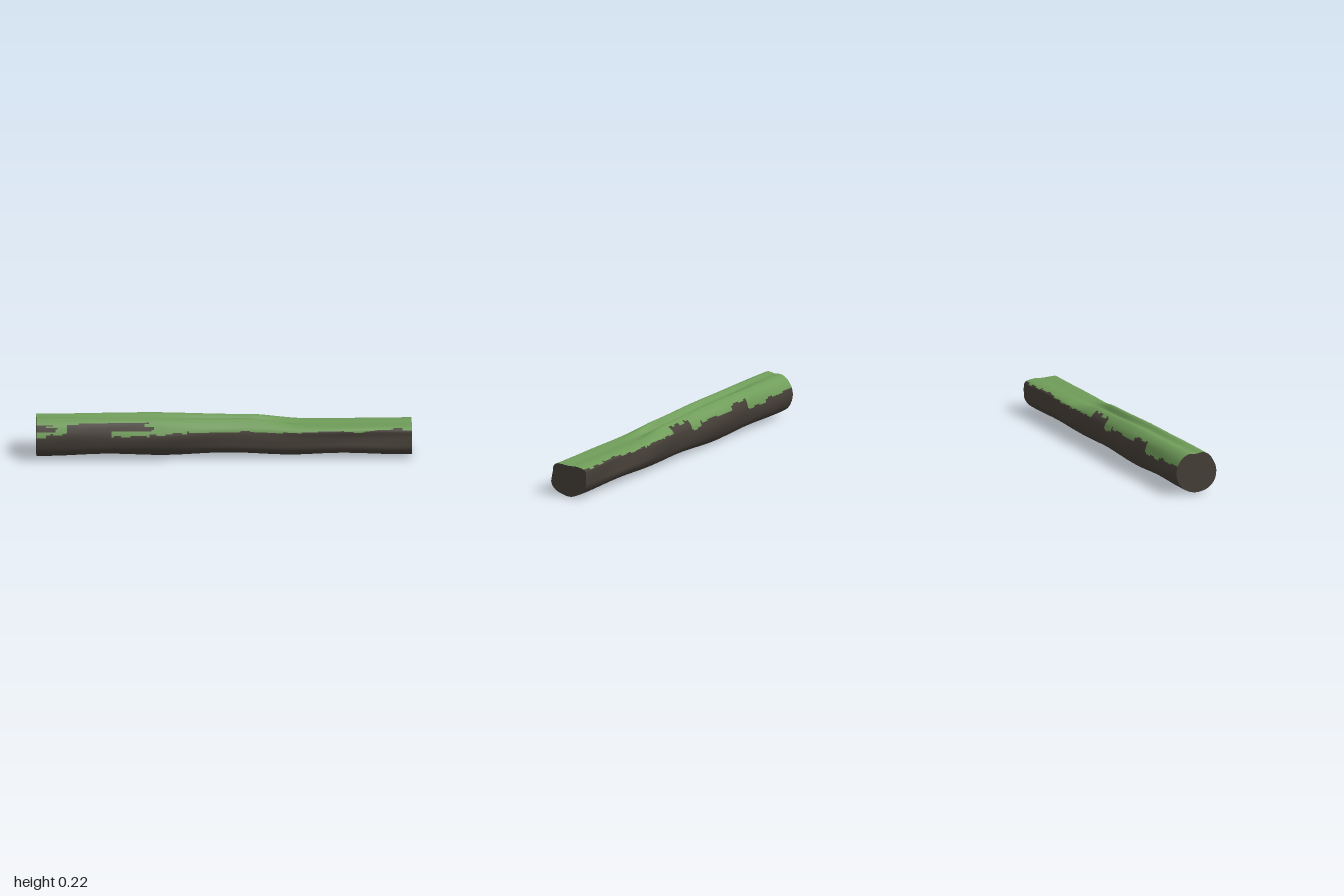
import * as THREE from 'three';

const bark = new THREE.MeshStandardMaterial({ color: 0x453e37 });
bark.name = 'bark';
const moss = new THREE.MeshStandardMaterial({ color: 0x6f9c59 });
moss.name = 'moss';

const RINGS = 160, SIDES = 80;

// Cross-sections as z, y pairs: top centre, down the front, under, up the back
const sections = [
  [0, .219, .04, .225, .075, .208, .095, .178, .11, .14, .113, .105, .104, .065, .07, .03,
    .01, .012, -.04, .018, -.085, .045, -.107, .085, -.112, .125, -.103, .165, -.08, .2, -.045, .22],
  [0, .204, .035, .223, .068, .208, .092, .175, .108, .14, .109, .105, .098, .065, .06, .028,
    0, .007, -.045, .01, -.085, .04, -.105, .08, -.113, .125, -.106, .165, -.085, .2, -.045, .223],
  [-.003, .182, .027, .215, .06, .198, .088, .172, .1, .14, .103, .105, .1, .065, .065, .032,
    .005, .014, -.045, .016, -.088, .045, -.106, .085, -.112, .125, -.107, .16, -.085, .188, -.042, .21],
  [0, .174, .045, .177, .08, .176, .098, .16, .1, .13, .105, .1, .109, .068, .085, .034,
    0, .008, -.04, .016, -.08, .035, -.106, .07, -.108, .105, -.106, .14, -.1, .162, -.055, .175],
].map((s) => {
  const points = [];
  for (let i = 0; i < s.length; i += 2) points.push(new THREE.Vector3(0, s[i + 1], s[i]));
  return new THREE.CatmullRomCurve3(points, true).getPoints(SIDES).slice(0, SIDES);
});
const keys = [[-1, 0], [-.4, 1], [.12, 2], [.45, 3], [1, 3]];

// One ring of the log, blended between sections, with slow ripples in the bark
function ringAt(x) {
  let k = 0;
  while (k < keys.length - 2 && x > keys[k + 1][0]) k++;
  const t = THREE.MathUtils.smoothstep(x, keys[k][0], keys[k + 1][0]);
  return sections[keys[k][1]].map((a, i) => {
    const p = a.clone().lerp(sections[keys[k + 1][1]][i], t);
    const angle = i / SIDES * Math.PI * 2;
    const side = Math.abs(Math.sin(angle));
    const low = Math.max(0, -Math.cos(angle));
    p.z *= 1 + .035 * side * Math.sin(x * 9 + angle * 2 + 1);
    p.y += .005 * low * Math.cos(x * 10);
    p.x = x;
    return p;
  });
}

// Lower edge of the moss on each side as [x where the step ends, height]
const frontEdge = [[-.92, .147], [-.84, .156], [-.6, .2], [-.4, .142], [-.2, .153], [.1, .162], [.75, .16], [.9, .164], [1, .168]];
const backEdge = [[-.92, .158], [-.75, .155], [-.57, .135], [-.42, .192], [-.12, .17], [-.04, .142], [.14, .195], [.4, .164], [.55, .158], [.8, .162], [1, .164]];
// Bare patches on the front: x from, x to, y from, y to
const bare = [[-1, -.92, .174, .205], [-.78, -.4, .168, .206]];

function hash(n) {
  const v = Math.sin(n * 127.1 + 3.7) * 43758.5453;
  return v - Math.floor(v);
}

function isMoss(x, y, z) {
  // The crown is always covered
  if (y > .1 && Math.abs(z) < .068) return true;
  const edge = z > 0 ? frontEdge : backEdge;
  const step = edge.find((e) => x <= e[0]) || edge[edge.length - 1];
  const ragged = (hash(Math.floor(x * 22) + (z > 0 ? 0 : 91)) - .5) * .012;
  if (y < step[1] + ragged) return false;
  const shift = (hash(Math.floor(y * 110)) - .5) * .06;
  return !(z > 0 && bare.some((b) => x > b[0] + (b[0] > -1 ? shift : 0) && x < b[1] + shift && y > b[2] && y < b[3]));
}

// Trunk skin, each cell sorted into bark or moss with shared smooth normals
function trunkGeometry() {
  const pos = [], barkFaces = [], mossFaces = [];
  for (let r = 0; r <= RINGS; r++) {
    for (const p of ringAt(-1 + 2 * r / RINGS)) pos.push(p.x, p.y, p.z);
  }
  for (let r = 0; r < RINGS; r++) {
    for (let i = 0; i < SIDES; i++) {
      const j = (i + 1) % SIDES;
      const a = r * SIDES + i, b = r * SIDES + j, c = a + SIDES, d = b + SIDES;
      const mid = (n) => (pos[a * 3 + n] + pos[d * 3 + n]) / 2;
      const faces = isMoss(mid(0), mid(1), mid(2)) ? mossFaces : barkFaces;
      faces.push(a, b, c, b, d, c);
    }
  }
  const g = new THREE.BufferGeometry();
  g.setAttribute('position', new THREE.Float32BufferAttribute(pos, 3));
  g.setIndex([...barkFaces, ...mossFaces]);
  g.addGroup(0, barkFaces.length, 0);
  g.addGroup(barkFaces.length, mossFaces.length, 1);
  g.computeVertexNormals();
  return g;
}

// Flat cut end closing the trunk
function capGeometry(x) {
  const ring = ringAt(x);
  const pos = [x, .11, 0], index = [];
  ring.forEach((p, i) => {
    pos.push(p.x, p.y, p.z);
    const a = i + 1, b = (i + 1) % SIDES + 1;
    if (x > 0) index.push(0, a, b);
    else index.push(0, b, a);
  });
  const g = new THREE.BufferGeometry();
  g.setAttribute('position', new THREE.Float32BufferAttribute(pos, 3));
  g.setIndex(index);
  g.computeVertexNormals();
  return g;
}

export function createModel() {
  const log = new THREE.Group();
  log.name = 'mossyLog';
  const add = (name, geometry, material) => {
    const mesh = new THREE.Mesh(geometry, material);
    mesh.name = name;
    log.add(mesh);
  };
  add('trunk', trunkGeometry(), [bark, moss]);
  add('leftCutEnd', capGeometry(1), bark);
  add('rightCutEnd', capGeometry(-1), bark);

  // Rest the underside on the ground
  log.position.y = -new THREE.Box3().setFromObject(log).min.y;
  return log;
}
